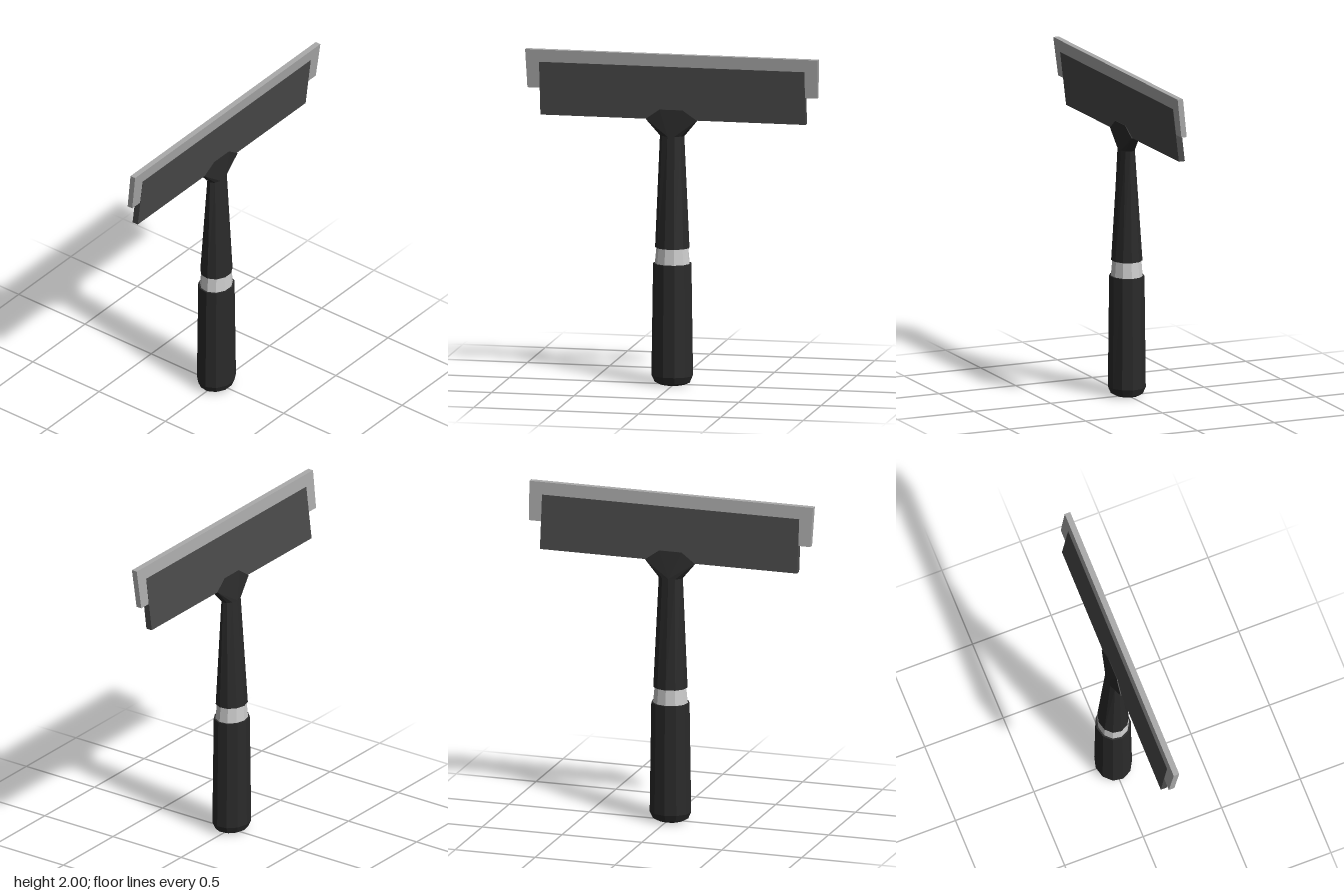
import * as THREE from 'three';
import { ConvexGeometry } from 'three/addons/geometries/ConvexGeometry.js';

const SIDES = 11;
const AXIS_X = -0.01; // handle sits slightly off centre

const material = (color) => new THREE.MeshStandardMaterial({ color, flatShading: true });

// Faceted tube through elliptical rows [y, radiusX, radiusZ, centreZ], listed bottom to top
function loft(rows) {
  const n = rows.length - 1;
  const geometry = new THREE.CylinderGeometry(1, 1, 1, SIDES, n, false, Math.PI);
  const p = geometry.attributes.position;
  for (let i = 0; i < p.count; i++) {
    const [y, rx, rz, cz] = rows[Math.round((p.getY(i) + 0.5) * n)];
    p.setXYZ(i, AXIS_X + p.getX(i) * rx, y, cz + p.getZ(i) * rz);
  }
  geometry.computeVertexNormals();
  return geometry;
}

// Flat slab that leans forward as it rises; its ends can taper
function slab(bottomHalf, topHalf, y0, y1, thickness) {
  const geometry = new THREE.BoxGeometry(2, 1, thickness);
  const p = geometry.attributes.position;
  for (let i = 0; i < p.count; i++) {
    const t = p.getY(i) + 0.5;
    const y = THREE.MathUtils.lerp(y0, y1, t);
    const half = THREE.MathUtils.lerp(bottomHalf, topHalf, t);
    p.setXYZ(i, p.getX(i) * half, y, p.getZ(i) + 0.0125 + 0.12 * (y - 1.6));
  }
  geometry.computeVertexNormals();
  return geometry;
}

// Wedge that spreads from the top of the shaft onto the holder
function neckGeometry() {
  const points = [];
  for (let i = 0; i < SIDES; i++) {
    const a = Math.PI + (i / SIDES) * Math.PI * 2;
    points.push(new THREE.Vector3(AXIS_X + Math.sin(a) * 0.075, 1.5, 0.004 + Math.cos(a) * 0.046));
  }
  for (const s of [-1, 1]) {
    for (const [x, y, z] of [[0.155, 1.6, 0.038], [0.155, 1.6, -0.012], [0.07, 1.66, 0.043], [0.07, 1.66, -0.004]]) {
      points.push(new THREE.Vector3(AXIS_X + s * x, y, z));
    }
  }
  return new ConvexGeometry(points);
}

export function createModel() {
  const model = new THREE.Group();
  model.name = 'squeegee';
  const black = material(0x2a2a2a);

  const add = (name, geometry, mat) => {
    const mesh = new THREE.Mesh(geometry, mat);
    mesh.name = name;
    model.add(mesh);
  };

  // Handle, from the rounded butt upwards
  add('grip', loft([
    [0, 0.075, 0.065, 0],
    [0.015, 0.108, 0.094, 0],
    [0.055, 0.126, 0.111, 0],
    [0.73, 0.116, 0.104, 0],
  ]), black);
  add('collar', loft([
    [0.725, 0.106, 0.094, 0],
    [0.835, 0.095, 0.085, 0],
  ]), material(0xcccccc));
  add('shaft', loft([
    [0.825, 0.104, 0.092, 0],
    [1.5, 0.075, 0.046, 0.004],
  ]), black);
  add('neck', neckGeometry(), black);

  // Leaning head: dark holder with the blade clamped inside
  add('holder', slab(0.805, 0.805, 1.6, 1.925, 0.039), material(0x4a4a4a));
  add('blade', slab(0.88, 0.888, 1.765, 2, 0.035), material(0xaaaaaa));

  return model;
}
